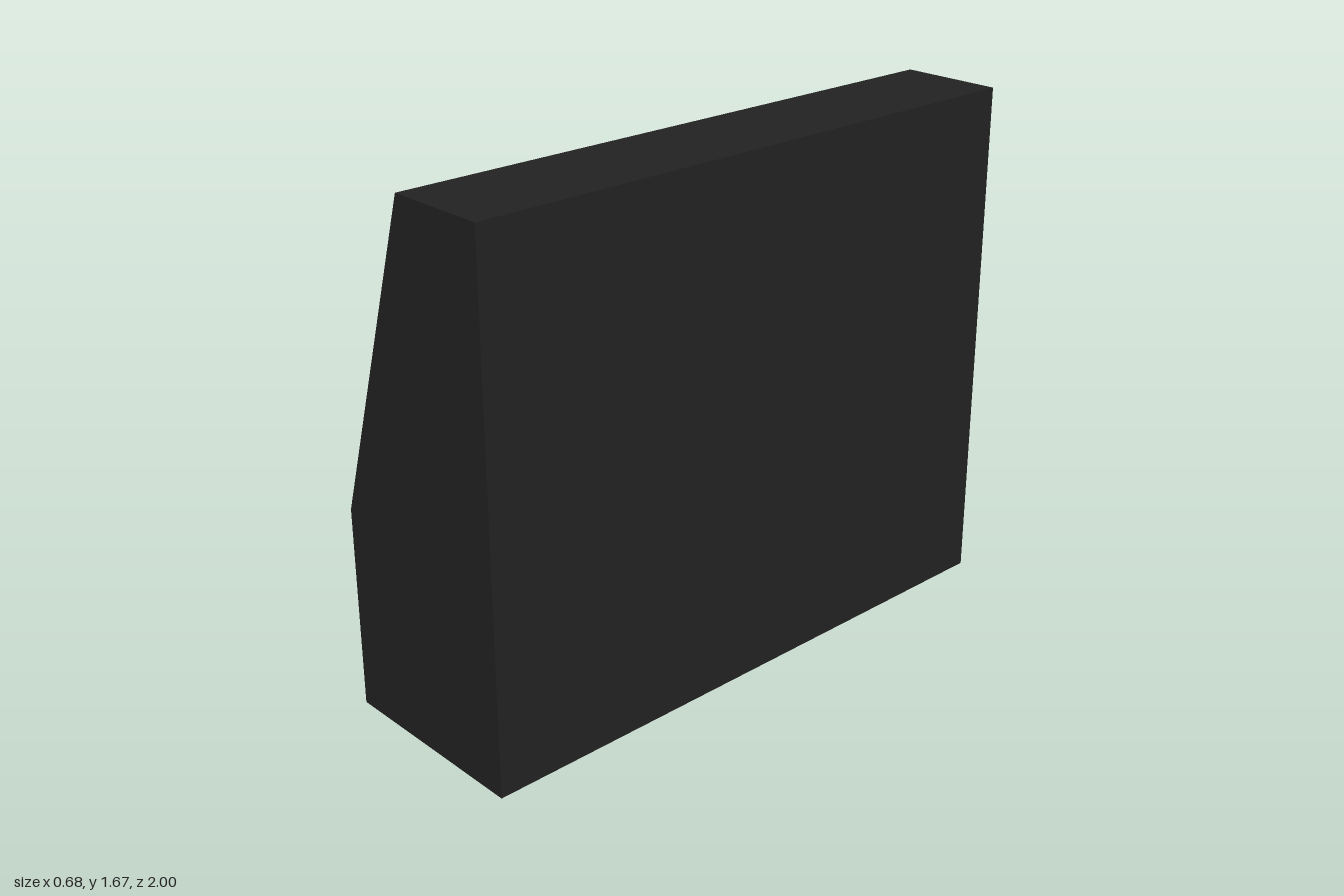
import * as THREE from 'three';

const paint = (color) => new THREE.MeshStandardMaterial({ color, flatShading: true });

// Extrudes an x-y outline along z from z0 to z1
function slab(name, points, z0, z1, material) {
  const shape = new THREE.Shape(points.map(([x, y]) => new THREE.Vector2(x, y)));
  const geometry = new THREE.ExtrudeGeometry(shape, { depth: z1 - z0, bevelEnabled: false });
  geometry.translate(0, 0, z0);
  const mesh = new THREE.Mesh(geometry, material);
  mesh.name = name;
  return mesh;
}

// Box on the panel whose outer (-x) face is shrunk to give sloping sides
function taperedBlock(height, length, width, inset) {
  const geometry = new THREE.BoxGeometry(height, length, width);
  geometry.translate(-height / 2, 0, 0);
  const p = geometry.attributes.position;
  for (let i = 0; i < p.count; i++) {
    if (p.getX(i) > -height / 2) continue;
    p.setY(i, p.getY(i) - Math.sign(p.getY(i)) * inset);
    p.setZ(i, p.getZ(i) - Math.sign(p.getZ(i)) * inset);
  }
  geometry.computeVertexNormals();
  return geometry;
}

export function createModel() {
  const model = new THREE.Group();
  model.name = 'controlConsole';
  const casing = paint(0x222222);
  const trim = paint(0x1a1a1a);
  const green = paint(0x177a1c);
  const red = paint(0x8c1212);

  // Casing: two full-depth ends and a middle with the foot recess cut out
  const upper = [[-0.32, 0.65], [0.01, 1.67], [0.345, 1.67], [0.345, 0]];
  const endProfile = [[-0.32, 0], ...upper];
  const middleProfile = [[0.01, 0], [0.01, 0.486], [-0.32, 0.486], ...upper];
  model.add(slab('rearEnd', endProfile, -1, -0.88, casing));
  model.add(slab('middleCasing', middleProfile, -0.88, 0.88, casing));
  model.add(slab('frontEnd', endProfile, 0.88, 1, casing));

  // Sloping panel frame: local y runs up the slope, local -x points outwards
  const panel = new THREE.Group();
  panel.name = 'slopingPanel';
  panel.position.set(-0.156, 1.157, 0);
  panel.rotation.z = -Math.atan2(0.33, 1.02);
  model.add(panel);

  // Three half-oval humps
  const hump = [];
  for (let i = 0; i <= 9; i++) {
    const a = (Math.PI * i) / 9;
    hump.push([-0.137 * Math.sin(a), 0.407 * Math.cos(a)]);
  }
  for (const z of [-0.663, -0.222, 0.218]) {
    panel.add(slab('hump', hump, z - 0.087, z + 0.087, trim));
  }

  // Column of three indicator lights on tapered bezels
  [red, green, green].forEach((material, i) => {
    const y = (i - 1) * 0.268;
    const bezel = new THREE.Mesh(taperedBlock(0.02, 0.258, 0.172, 0.012), trim);
    bezel.name = 'lightBezel';
    bezel.position.set(0, y, 0.655);
    const light = new THREE.Mesh(new THREE.BoxGeometry(0.01, 0.195, 0.092), material);
    light.name = 'indicatorLight';
    light.position.set(-0.018, y, 0.655);
    panel.add(bezel, light);
  });

  return model;
}
